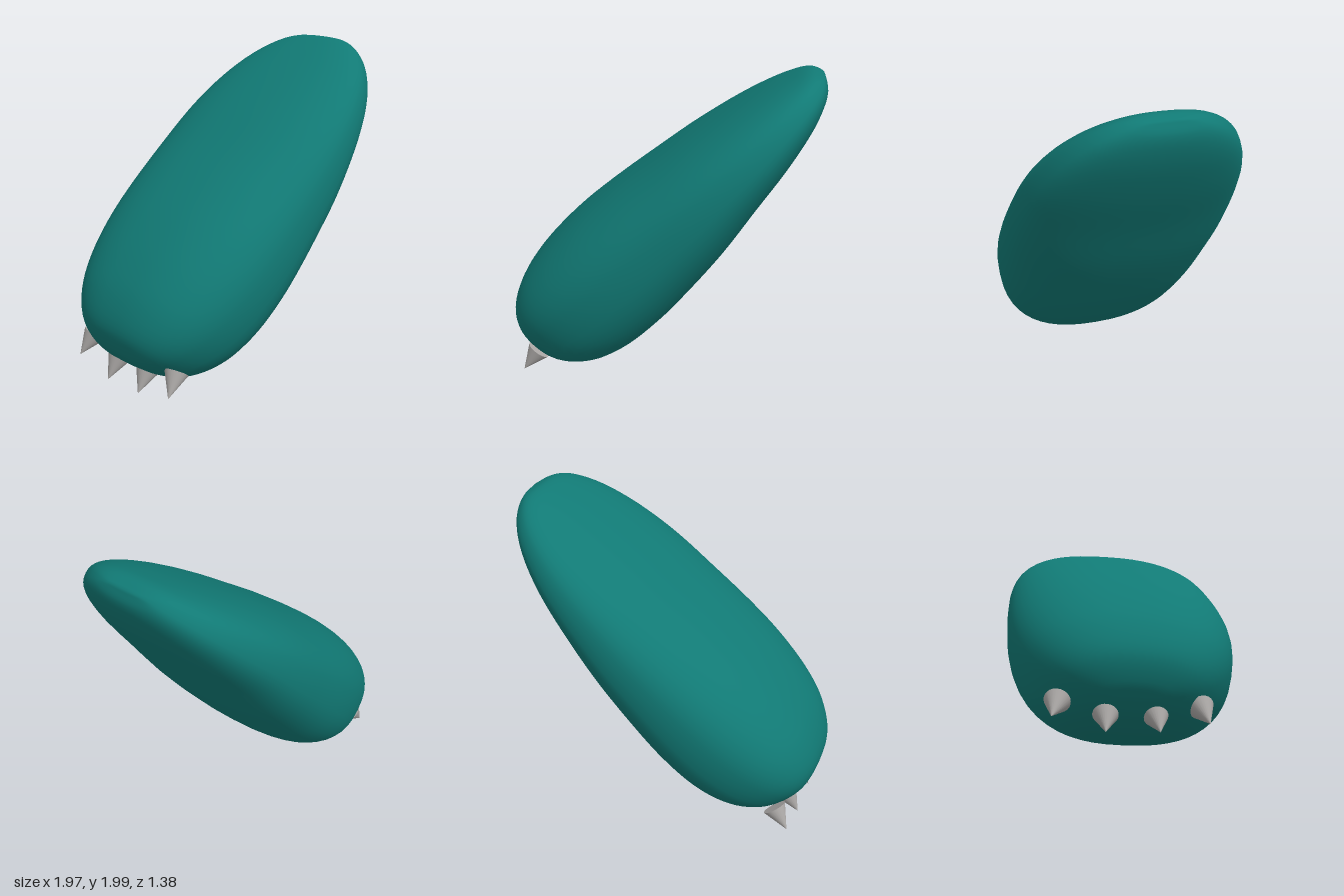
import * as THREE from 'three';

const bodyTeal = new THREE.MeshStandardMaterial({ color: 0x117a75 });
bodyTeal.name = 'deepTeal';
const clawGrey = new THREE.MeshStandardMaterial({ color: 0xb0adab });
clawGrey.name = 'clawGrey';

// Side profile along the 45 degree axis: [distance, lower edge, upper edge]
const stations = [
  [-0.497, 0.765, 0.765], [-0.48, 0.65, 0.865], [-0.40, 0.487, 1.0], [-0.22, 0.357, 1.096],
  [0, 0.298, 1.138], [0.29, 0.287, 1.146], [0.59, 0.311, 1.122], [0.92, 0.354, 1.077],
  [1.27, 0.424, 1.023], [1.63, 0.495, 0.945], [1.9, 0.573, 0.862], [2.03, 0.645, 0.797],
  [2.075, 0.72, 0.72],
];

// Superellipse power keeping the sign
const power = (v, n) => Math.sign(v) * Math.abs(v) ** (2 / n);

// Half width of the limb, blunter at the foot end than at the top
function halfWidth(s) {
  const u = Math.min(1, Math.abs(s - 0.789) / 1.286);
  const n = s < 0.789 ? 2.85 : 2.45;
  return 0.69 * Math.max(0, 1 - u ** n) ** (1 / n);
}

// Rounded, tapering limb lofted from superelliptic sections
function limbGeometry() {
  const profile = new THREE.CatmullRomCurve3(
    stations.map(([s, lo, hi]) => new THREE.Vector3(s, (lo + hi) / 2, (hi - lo) / 2)));
  const rows = 60, cols = 48;
  const positions = [], index = [];
  profile.getPoints(rows).forEach((p, i) => {
    const end = i === 0 || i === rows;
    const half = end ? 0 : Math.max(0, p.z);
    const width = end ? 0 : halfWidth(p.x);
    for (let j = 0; j < cols; j++) {
      const a = (j / cols) * Math.PI * 2;
      const t = p.y + half * power(Math.cos(a), 2.45);
      const z = width * power(Math.sin(a), 2.45);
      positions.push((p.x - t) * Math.SQRT1_2, (p.x + t) * Math.SQRT1_2, z);
      if (i < rows) {
        const k = (j + 1) % cols, r = i * cols, q = r + cols;
        if (i > 0) index.push(r + j, r + k, q + j);
        if (i < rows - 1) index.push(r + k, q + k, q + j);
      }
    }
  });
  const geometry = new THREE.BufferGeometry();
  geometry.setAttribute('position', new THREE.Float32BufferAttribute(positions, 3));
  geometry.setIndex(index);
  geometry.computeVertexNormals();
  // The end rings collapse to a point and share the axis as their normal
  const normal = geometry.attributes.normal;
  for (let j = 0; j < cols; j++) {
    normal.setXYZ(j, -Math.SQRT1_2, -Math.SQRT1_2, 0);
    normal.setXYZ(rows * cols + j, Math.SQRT1_2, Math.SQRT1_2, 0);
  }
  return geometry;
}

// Cone pointing from its base centre to its tip
function claw(base, tip) {
  const from = new THREE.Vector3(...base), to = new THREE.Vector3(...tip);
  const axis = to.clone().sub(from);
  const mesh = new THREE.Mesh(new THREE.ConeGeometry(0.075, axis.length(), 24), clawGrey);
  mesh.position.copy(from).add(to).multiplyScalar(0.5);
  mesh.quaternion.setFromUnitVectors(new THREE.Vector3(0, 1, 0), axis.normalize());
  mesh.name = 'claw';
  return mesh;
}

export function createModel() {
  const model = new THREE.Group();
  model.name = 'clawedLimb';
  const limb = new THREE.Mesh(limbGeometry(), bodyTeal);
  limb.name = 'limb';
  model.add(limb);

  // Four claws along the lower end
  const claws = new THREE.Group();
  claws.name = 'claws';
  claws.add(
    claw([-0.79, 0.205, 0.37], [-0.885, 0.075, 0.40]),
    claw([-0.80, 0.145, 0.12], [-0.89, 0.015, 0.13]),
    claw([-0.80, 0.14, -0.15], [-0.89, 0.005, -0.16]),
    claw([-0.79, 0.205, -0.41], [-0.885, 0.08, -0.445]),
  );
  model.add(claws);
  return model;
}
